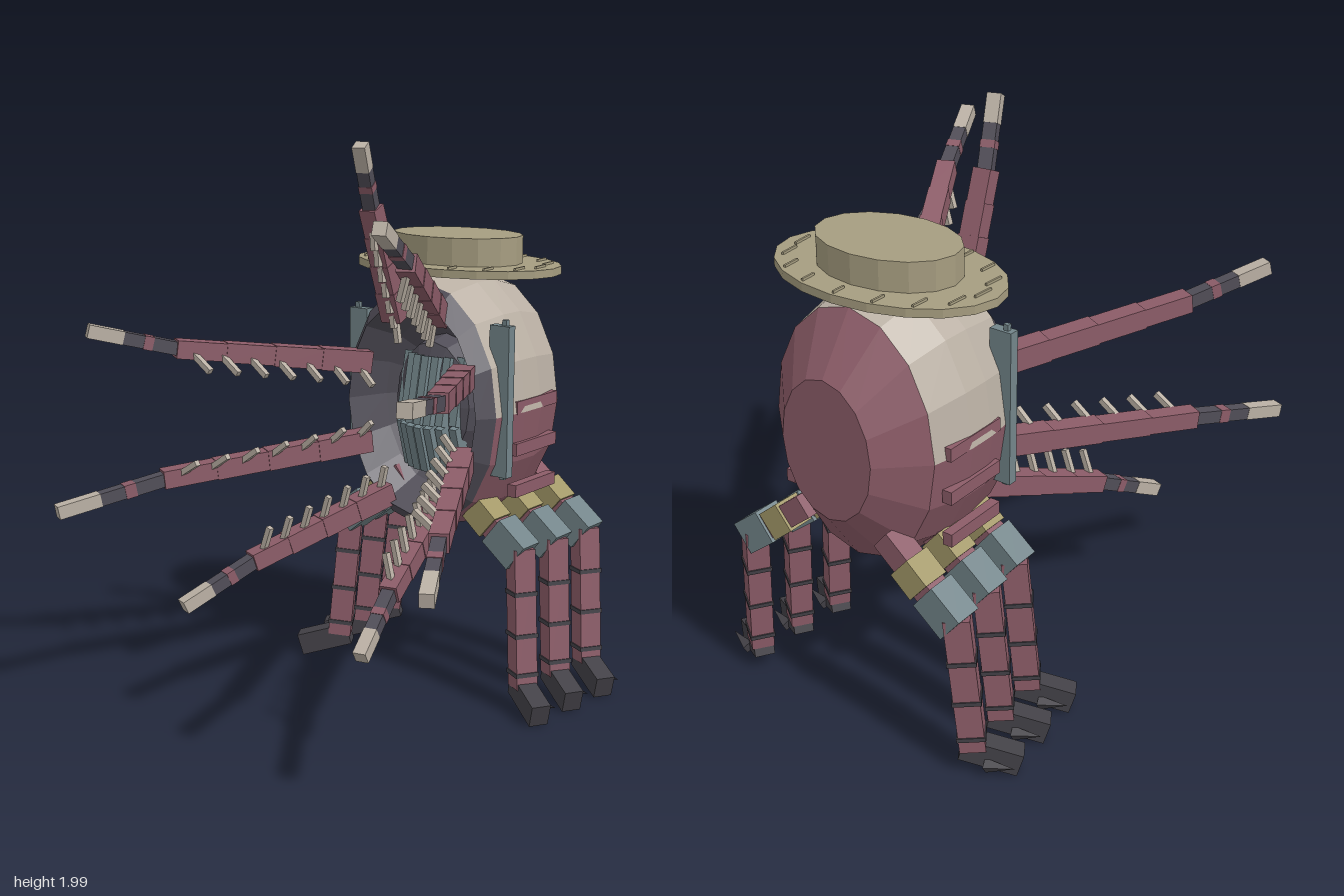
import * as THREE from 'three';

const mat = (name, color) => {
  const m = new THREE.MeshStandardMaterial({ color });
  m.name = name;
  return m;
};
const V = (x, y, z) => new THREE.Vector3(x, y, z);
const CX = -0.022, CY = 1.07; // axis of the barrel body

export function createModel() {
  const maroon = mat('maroon', 0x8c5c68);
  const cream = mat('cream', 0xbab0a4);
  const slate = mat('slate', 0x504d57);
  const charcoal = mat('charcoal', 0x434147);
  const teal = mat('teal', 0x73858a);
  const straw = mat('straw', 0xa69d80);
  const khaki = mat('khaki', 0xa39868);

  const model = new THREE.Group();
  model.name = 'hattedCreature';

  const group = (name, parent = model) => {
    const g = new THREE.Group();
    g.name = name;
    parent.add(g);
    return g;
  };
  // Faceted mesh
  const add = (parent, name, geo, material) => {
    const g = geo.index ? geo.toNonIndexed() : geo;
    g.computeVertexNormals();
    const mesh = new THREE.Mesh(g, material);
    mesh.name = name;
    parent.add(mesh);
    return mesh;
  };
  const box = (parent, name, material, size, pos) => {
    const m = add(parent, name, new THREE.BoxGeometry(...size), material);
    m.position.set(...pos);
    return m;
  };
  // Box running from a to b
  const beam = (parent, name, material, a, b, w, h = w) => {
    const m = add(parent, name, new THREE.BoxGeometry(w, h, a.distanceTo(b)), material);
    m.position.copy(a).lerp(b, 0.5);
    m.lookAt(b);
    return m;
  };
  // Elliptical shell around the z axis from [radius, z] points
  const shell = (parent, name, material, pts, start, length, segs) => {
    const geo = new THREE.LatheGeometry(pts.map(p => new THREE.Vector2(...p)), segs, start, length);
    geo.rotateX(Math.PI / 2).scale(0.735, 1, 1);
    const m = add(parent, name, geo, material);
    m.position.set(CX, CY, 0);
  };

  // Barrel body: cream upper half, maroon belly and back
  const body = group('body');
  const barrel = [[0.43, -0.67], [0.47, -0.52], [0.47, -0.42], [0.445, -0.27]];
  shell(body, 'upperShell', cream, barrel, Math.PI / 2, Math.PI, 8);
  shell(body, 'belly', maroon, barrel, -Math.PI / 2, Math.PI, 8);
  shell(body, 'back', maroon, [[0, -0.8], [0.24, -0.8], [0.43, -0.67]], 0, Math.PI * 2, 16);
  shell(body, 'mouthBowl', slate,
    [[0.445, -0.27], [0.385, -0.21], [0.31, -0.36], [0.24, -0.42], [0.22, -0.34], [0.14, -0.31], [0, -0.3]],
    0, Math.PI * 2, 16);

  // Curved grille of upright slats in the mouth
  const grille = group('grille');
  for (let i = -3; i <= 3; i++) {
    const x = CX + i * 0.039, z = -0.27 - 0.006 * i * i;
    beam(grille, 'slatTop', teal, V(x, 1.24, z - 0.05), V(x, 1.0, z), 0.031, 0.05);
    beam(grille, 'slatBottom', teal, V(x, 1.0, z), V(x, 0.83, z - 0.05), 0.031, 0.05);
  }

  // Side panels and gill bars
  for (const s of [-1, 1]) {
    const side = group(s > 0 ? 'leftSide' : 'rightSide');
    box(side, 'sidePanel', teal, [0.08, 0.53, 0.036], [CX + s * 0.312, 1.12, -0.318]);
    box(side, 'panelRod', teal, [0.018, 0.56, 0.016], [CX + s * 0.325, 1.125, -0.318]);
    for (const y of [0.79, 0.94, 1.09])
      box(side, 'gillBar', maroon, [0.035, 0.045, 0.25], [CX + s * 0.325, y, -0.5]);
  }

  // Flat oval straw hat with ribs on the brim
  const hat = group('hat');
  hat.position.set(CX, 0, -0.48);
  const disc = (name, rx, rz, y0, y1, n) => {
    const geo = new THREE.CylinderGeometry(1, 1, y1 - y0, n).scale(rx, 1, rz);
    add(hat, name, geo, straw).position.y = (y0 + y1) / 2;
  };
  disc('brim', 0.405, 0.267, 1.54, 1.568, 20);
  disc('crown', 0.253, 0.178, 1.565, 1.665, 16);
  for (let i = 0; i < 16; i++) {
    const a = (i / 16) * Math.PI * 2, c = Math.cos(a), n = Math.sin(a);
    beam(hat, 'brimRib', straw, V(c * 0.315, 1.57, n * 0.207), V(c * 0.39, 1.57, n * 0.257), 0.007, 0.012);
  }

  // Three legs on each side
  for (const s of [-1, 1]) {
    [[-0.35, -0.02], [-0.53, 0], [-0.71, 0.02]].forEach(([z0, d]) => {
      const leg = group(s > 0 ? 'leftLeg' : 'rightLeg');
      const P = (x, y, z = 0) => V(CX + s * (x + d), y, z0 + z);
      beam(leg, 'thigh', maroon, P(0.14, 0.79), P(0.36, 0.61), 0.08);
      beam(leg, 'hipCuff', khaki, P(0.22, 0.725), P(0.295, 0.662), 0.1);
      beam(leg, 'knee', teal, P(0.31, 0.655), P(0.415, 0.572), 0.1, 0.115);
      const top = P(0.405, 0.6), ankle = P(0.447, 0.1, 0.028);
      beam(leg, 'shin', maroon, top, ankle, 0.078, 0.085);
      for (const t of [0.3, 0.6, 0.88]) {
        beam(leg, 'shinBand', charcoal, top.clone().lerp(ankle, t),
          top.clone().lerp(ankle, t + 0.03), 0.086, 0.094);
      }
      beam(leg, 'foot', charcoal, P(0.415, 0.105, 0.01), P(0.575, 0.05, 0.11), 0.07, 0.082);
      // Pointed claw beside the toe
      const from = P(0.5, 0.05, 0.02), to = P(0.595, 0.065, 0.045);
      const claw = add(leg, 'claw', new THREE.ConeGeometry(0.025, from.distanceTo(to), 4), charcoal);
      claw.position.copy(from).lerp(to, 0.5);
      claw.quaternion.setFromUnitVectors(V(0, 1, 0), to.sub(from).normalize());
    });
  }

  // Eight arms around the mouth: base, elbow, tip
  const arms = [
    [V(-0.11, 1.38, -0.24), V(-0.09, 1.77, -0.08), V(-0.055, 1.99, 0.02)],
    [V(0.07, 1.4, -0.24), V(0.26, 1.64, 0.17), V(0.345, 1.775, 0.41)],
    [V(0.19, 1.21, -0.24), V(0.57, 1.28, 0.41), V(0.71, 1.335, 0.75)],
    [V(-0.235, 1.21, -0.24), V(-0.58, 1.3, 0.36), V(-0.742, 1.38, 0.625)],
    [V(0.19, 0.92, -0.24), V(0.57, 0.85, 0.4), V(0.752, 0.785, 0.7)],
    [V(-0.235, 0.92, -0.24), V(-0.6, 0.85, 0.42), V(-0.755, 0.78, 0.78)],
    [V(-0.14, 0.74, -0.24), V(-0.33, 0.57, 0.27), V(-0.42, 0.45, 0.53)],
    [V(0.09, 0.73, -0.24), V(0.195, 0.54, 0.17), V(0.25, 0.39, 0.39)],
  ];
  for (const [base, elbow, tip] of arms) {
    const arm = group('arm');
    const at = (a, b, t) => a.clone().lerp(b, t);
    // Overlapping thick segments
    for (let i = 0; i < 4; i++)
      beam(arm, 'armSegment', maroon, at(base, elbow, i / 4), at(base, elbow, (i + 1) / 4 + 0.02), 0.078 - i * 0.005);
    // Banded slender end
    [[0, 0.3, slate, 0.046], [0.3, 0.4, maroon, 0.048], [0.4, 0.62, slate, 0.044], [0.62, 1, cream, 0.046]]
      .forEach(([a, b, m, w]) => beam(arm, 'armTip', m, at(elbow, tip, a), at(elbow, tip, b), w));
    // Row of spines pointing towards the mouth axis
    for (let i = 0; i < 7; i++) {
      const p = at(base, elbow, 0.08 + i * 0.145);
      const dir = V(CX - p.x, (CY - p.y) * 1.6, 0).normalize();
      beam(arm, 'spine', cream, p, p.clone().addScaledVector(dir, 0.12), 0.02);
    }
  }
  return model;
}
